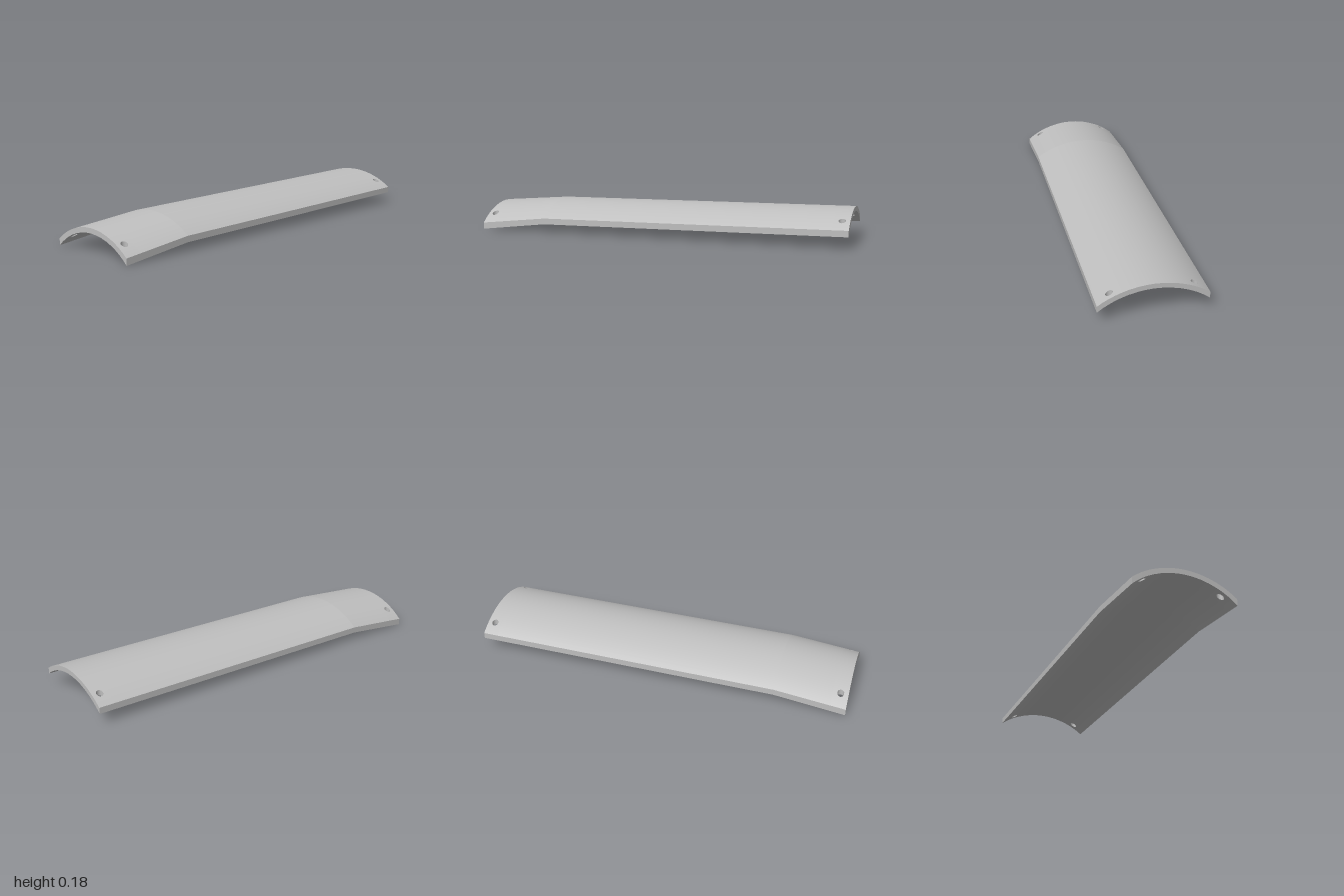
import * as THREE from 'three';

const HALF_LEN = 1, HALF_WID = 0.265;
const HOLE_X = 0.96, HOLE_Z = 0.2, HOLE_R = 0.0175, PATCH = 0.04, SIDES = 16;

// Arc profiles along the length: crown height and radius, outer and inner
const STATIONS = [
  { x: -1, outer: [0.131, 0.415], inner: [0.105, 0.389] },
  { x: -0.63, outer: [0.16, 0.458], inner: [0.135, 0.431] },
  { x: 1, outer: [0.177, 0.466], inner: [0.152, 0.436] },
];

const arc = ([crown, r], z) => crown - r + Math.sqrt(r * r - z * z);

function height(side, x, z) {
  const i = x < STATIONS[1].x ? 0 : 1;
  const a = STATIONS[i], b = STATIONS[i + 1];
  return THREE.MathUtils.lerp(arc(a[side], z), arc(b[side], z), (x - a.x) / (b.x - a.x));
}

const point = (side, [x, z]) => new THREE.Vector3(x, height(side, x, z), z);

// Collects quads and winds each one to agree with its normals
class Builder {
  constructor() { this.pos = []; this.nor = []; }
  quad(points, normals) {
    const face = new THREE.Vector3().subVectors(points[2], points[0])
      .cross(new THREE.Vector3().subVectors(points[3], points[1]));
    const order = face.dot(normals[0]) > 0 ? [0, 1, 2, 0, 2, 3] : [0, 2, 1, 0, 3, 2];
    for (const k of order) {
      this.pos.push(...points[k].toArray());
      this.nor.push(...normals[k].toArray());
    }
  }
  mesh(name, material) {
    const g = new THREE.BufferGeometry();
    g.setAttribute('position', new THREE.Float32BufferAttribute(this.pos, 3));
    g.setAttribute('normal', new THREE.Float32BufferAttribute(this.nor, 3));
    const m = new THREE.Mesh(g, material);
    m.name = name;
    return m;
  }
}

// Curved patch: smooth across the arc, crisp at the bend
function skin(builder, side, corners) {
  const cx = corners.reduce((s, c) => s + c[0], 0) / 4;
  const e = 0.001, sign = side === 'outer' ? 1 : -1;
  const normals = corners.map(([, z]) => new THREE.Vector3(
    -(height(side, cx + e, z) - height(side, cx - e, z)) / (2 * e), 1,
    -(height(side, cx, z + e) - height(side, cx, z - e)) / (2 * e),
  ).normalize().multiplyScalar(sign));
  builder.quad(corners.map((c) => point(side, c)), normals);
}

// Upright wall joining the two skins between two plan points
function wall(builder, a, b, na, nb = na) {
  builder.quad(
    [point('outer', a), point('outer', b), point('inner', b), point('inner', a)],
    [na, nb, nb, na],
  );
}

export function createModel() {
  const group = new THREE.Group();
  group.name = 'curvedCoverPlate';
  const grey = new THREE.MeshStandardMaterial({ color: 0xbfbfbf });
  grey.name = 'plain grey';

  const step = PATCH * Math.tan(Math.PI / 8);
  const half = [0.04, 0.08, 0.12, HOLE_Z - PATCH, HOLE_Z - step, HOLE_Z, HOLE_Z + step,
    HOLE_Z + PATCH, HALF_WID];
  const zs = [...half.map((z) => -z).reverse(), 0, ...half];
  const inX = HOLE_X - PATCH;
  const xs = [-HALF_LEN, -inX, STATIONS[1].x, inX, HALF_LEN];

  const skins = { outer: new Builder(), inner: new Builder() };
  const edges = new Builder(), bores = new Builder();

  // Outer and inner skins, leaving a square free round each hole
  for (let i = 0; i < xs.length - 1; i++) {
    for (let j = 0; j < zs.length - 1; j++) {
      const mx = Math.abs(xs[i] + xs[i + 1]) / 2, mz = Math.abs(zs[j] + zs[j + 1]) / 2;
      if (mx > inX && Math.abs(mz - HOLE_Z) < PATCH) continue;
      const corners = [[xs[i], zs[j]], [xs[i + 1], zs[j]],
        [xs[i + 1], zs[j + 1]], [xs[i], zs[j + 1]]];
      for (const side in skins) skin(skins[side], side, corners);
    }
  }

  // Four corner holes: square-to-circle patches and bores
  for (const sx of [-1, 1]) for (const sz of [-1, 1]) {
    const at = (k, square) => {
      const t = (k / SIDES) * Math.PI * 2, c = Math.cos(t), s = Math.sin(t);
      const r = square ? PATCH / Math.max(Math.abs(c), Math.abs(s)) : HOLE_R;
      return [sx * HOLE_X + c * r, sz * HOLE_Z + s * r];
    };
    const inward = (k) => {
      const t = (k / SIDES) * Math.PI * 2;
      return new THREE.Vector3(-Math.cos(t), 0, -Math.sin(t));
    };
    for (let k = 0; k < SIDES; k++) {
      const corners = [at(k), at(k, true), at(k + 1, true), at(k + 1)];
      for (const side in skins) skin(skins[side], side, corners);
      wall(bores, at(k), at(k + 1), inward(k), inward(k + 1));
    }
  }

  // Long side edges and curved end edges
  for (const s of [-1, 1]) {
    for (let i = 0; i < xs.length - 1; i++) {
      wall(edges, [xs[i], s * HALF_WID], [xs[i + 1], s * HALF_WID], new THREE.Vector3(0, 0, s));
    }
    for (let j = 0; j < zs.length - 1; j++) {
      wall(edges, [s * HALF_LEN, zs[j]], [s * HALF_LEN, zs[j + 1]], new THREE.Vector3(s, 0, 0));
    }
  }

  group.add(
    skins.outer.mesh('outerSkin', grey),
    skins.inner.mesh('innerSkin', grey),
    edges.mesh('plateEdges', grey),
    bores.mesh('holeBores', grey),
  );
  return group;
}
